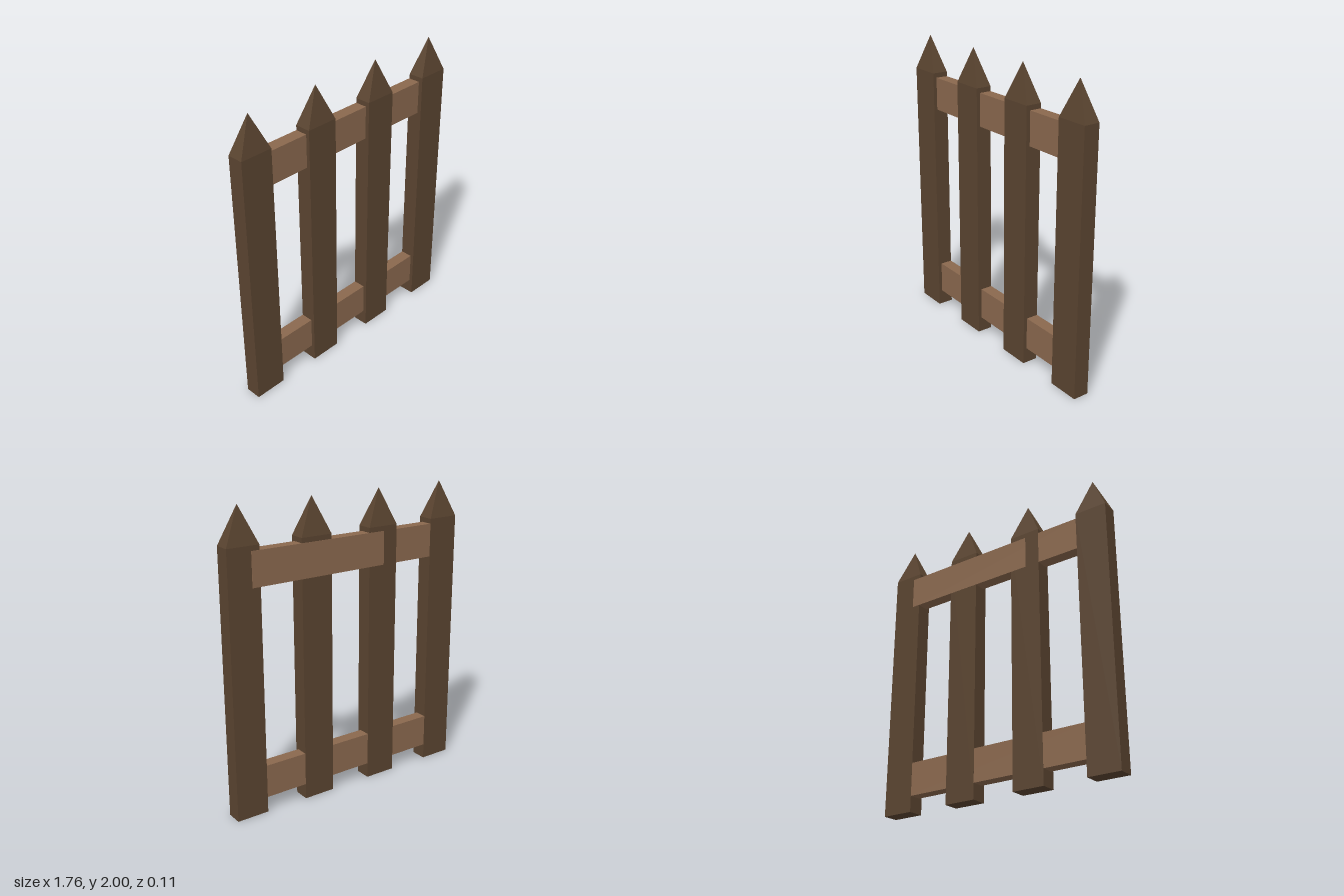
import * as THREE from 'three';

const POST_WIDTH = 0.22, POST_DEPTH = 0.108, POST_HEIGHT = 2, SHOULDER = 1.76;
const RAIL_LENGTH = 1.43, RAIL_HEIGHT = 0.223, RAIL_DEPTH = 0.083;

const postMaterial = new THREE.MeshStandardMaterial({ color: 0x5a4430, flatShading: true });
const railMaterial = new THREE.MeshStandardMaterial({ color: 0x8a684e, flatShading: true });

// Four-sided post ending in a pyramid point
function createPostGeometry() {
  const r = Math.SQRT1_2;
  const profile = [[0, 0], [r, 0], [r, SHOULDER], [0, POST_HEIGHT]].map(([x, y]) => new THREE.Vector2(x, y));
  const geometry = new THREE.LatheGeometry(profile, 4, Math.PI / 4).toNonIndexed();
  geometry.scale(POST_WIDTH, 1, POST_DEPTH);
  geometry.computeVertexNormals();
  return geometry;
}

export function createModel() {
  const fence = new THREE.Group();
  fence.name = 'picketFence';

  // Upright pickets
  const postGeometry = createPostGeometry();
  [-0.771, -0.259, 0.255, 0.768].forEach((x, i) => {
    const post = new THREE.Mesh(postGeometry, postMaterial);
    post.name = `picket${i + 1}`;
    post.position.x = x;
    fence.add(post);
  });

  // Cross rails along the back; the upper one is nailed very slightly askew
  const railGeometry = new THREE.BoxGeometry(RAIL_LENGTH, RAIL_HEIGHT, RAIL_DEPTH);
  const addRail = (name, y, back, turn) => {
    const rail = new THREE.Mesh(railGeometry, railMaterial);
    rail.name = name;
    rail.position.set(0, y, back + RAIL_DEPTH / 2);
    rail.rotation.y = turn;
    fence.add(rail);
  };
  addRail('upperRail', 1.616, -0.0548, 0.003);
  addRail('lowerRail', 0.217, -0.0537, 0);

  return fence;
}
